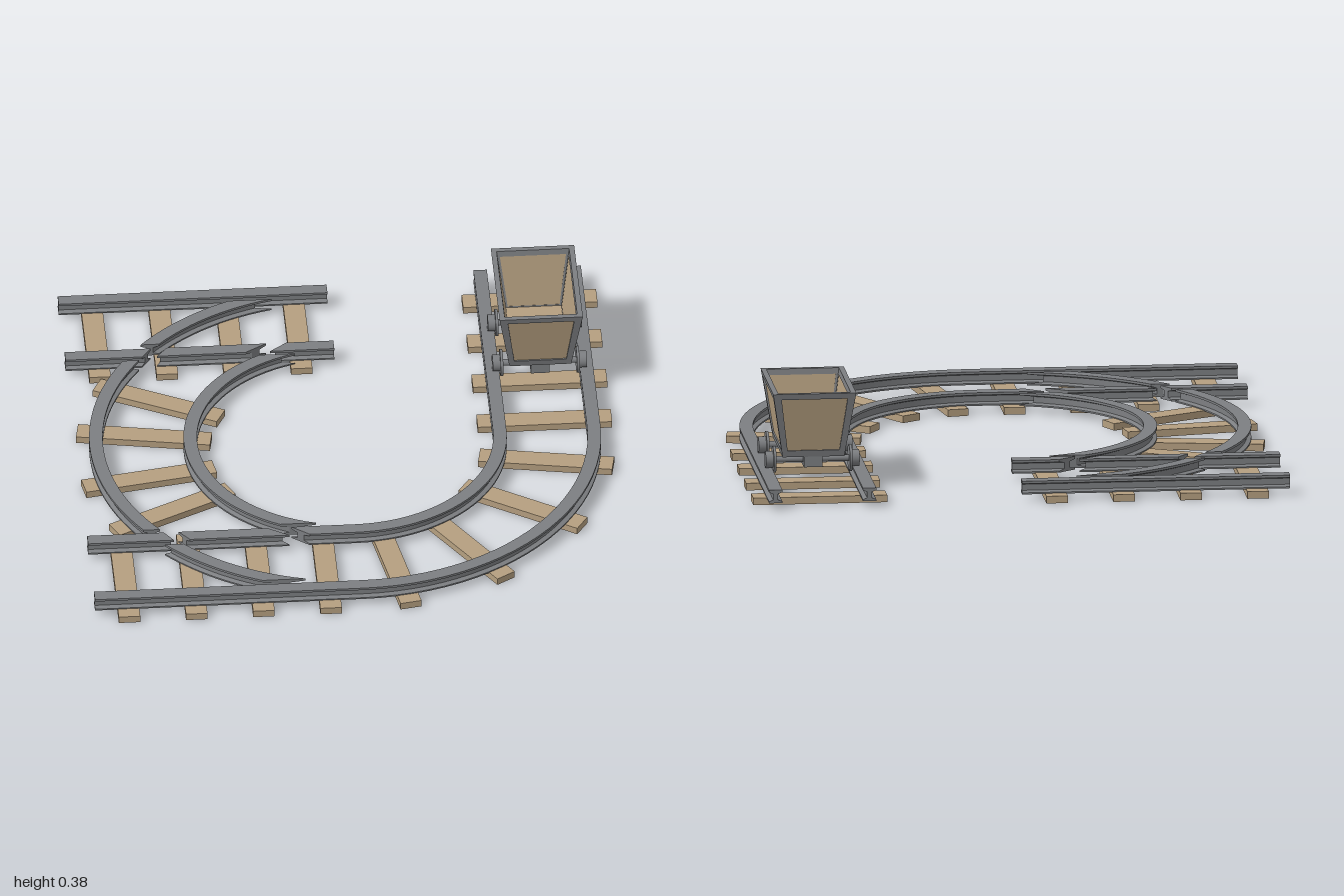
import * as THREE from 'three';
import { toCreasedNormals } from 'three/addons/utils/BufferGeometryUtils.js';

const wood = new THREE.MeshStandardMaterial({ color: 0xb59f80 });
const iron = new THREE.MeshStandardMaterial({ color: 0x7d7f82 });
const INNER = 0.575, OUTER = 0.925, MID = 0.75;

// I-shaped rail section: [sideways offset, height]
const half = [[0.025, 0.025], [0.025, 0.031], [0.009, 0.037], [0.009, 0.06], [0.025, 0.066], [0.025, 0.075]];
const section = [...half, ...half.map(([o, y]) => [-o, y]).reverse()];
const capTriangles = THREE.ShapeUtils.triangulateShape(section.map(p => new THREE.Vector2(...p)), []);

function add(parent, name, geometry, material, x = 0, y = 0, z = 0) {
  const mesh = new THREE.Mesh(geometry, material);
  mesh.name = name;
  mesh.position.set(x, y, z);
  parent.add(mesh);
  return mesh;
}

// Sweeps the rail section; at(offset, t) gives the ground position [x, z]
function sweepRail(steps, at) {
  const rings = [];
  for (let i = 0; i <= steps; i++) {
    rings.push(section.map(([o, y]) => {
      const [x, z] = at(o, i / steps);
      return new THREE.Vector3(x, y, z);
    }));
  }
  const tris = [];
  const n = section.length;
  for (let i = 0; i < steps; i++) {
    for (let j = 0; j < n; j++) {
      const k = (j + 1) % n, a = rings[i], b = rings[i + 1];
      tris.push([a[j], a[k], b[j]], [a[k], b[k], b[j]]);
    }
  }
  for (const [a, b, c] of capTriangles) {
    tris.push([rings[0][a], rings[0][c], rings[0][b]]);
    tris.push([rings[steps][a], rings[steps][b], rings[steps][c]]);
  }
  // Turn all faces outward whichever way the path runs
  let volume = 0;
  const cross = new THREE.Vector3();
  for (const [a, b, c] of tris) volume += a.dot(cross.crossVectors(b, c));
  if (volume < 0) tris.forEach(t => t.reverse());
  const geometry = new THREE.BufferGeometry().setFromPoints(tris.flat());
  geometry.computeVertexNormals();
  return toCreasedNormals(geometry, 0.35);
}

// Straight rail along x at depth z; each end is [x at inner edge, x at outer edge]
function straightRail(z, side, start, end) {
  return sweepRail(1, (o, t) => {
    const f = (o + 0.025) / 0.05;
    const a = THREE.MathUtils.lerp(...start, f), b = THREE.MathUtils.lerp(...end, f);
    return [a + (b - a) * t, side * (z + o)];
  });
}

// Curved rail on the left, with both ends cut along constant z
function cutArc(radius, z0, z1, steps) {
  return sweepRail(steps, (o, t) => {
    const r = radius + o;
    const a0 = Math.asin(z0 / r), a1 = Math.asin(z1 / r), a = a0 + (a1 - a0) * t;
    return [-r * Math.cos(a), r * Math.sin(a)];
  });
}

function buildTrack() {
  const track = new THREE.Group();
  track.name = 'track';

  // Straight run and quarter bend on the cart's side
  for (const r of [INNER, OUTER]) {
    add(track, 'straightRail', sweepRail(1, (o, t) => [r + o, t - 1]), iron);
    add(track, 'bendRail', sweepRail(24, (o, t) => {
      const a = t * Math.PI / 2;
      return [(r + o) * Math.cos(a), (r + o) * Math.sin(a)];
    }), iron);
  }

  // Two junctions, with gaps where rails cross
  for (const side of [-1, 1]) {
    add(track, 'outerRail', straightRail(OUTER, side, [-1, -1], [0, 0]), iron);
    add(track, 'crossingRail', straightRail(INNER, side, [-1, -1], [-0.715, -0.68]), iron);
    add(track, 'crossingRail', straightRail(INNER, side, [-0.66, -0.62], [-0.33, -0.25]), iron);
    add(track, 'crossingRail', straightRail(INNER, side, [-0.24, -0.175], [0, 0]), iron);
    add(track, 'switchRail', cutArc(OUTER, side * 0.625, side * 0.875, 12), iron);
  }
  add(track, 'innerLoopRail', cutArc(INNER, -0.53, 0.53, 36), iron);
  add(track, 'outerLoopRail', cutArc(OUTER, -0.53, 0.53, 24), iron);

  // Sleepers
  const sleeper = new THREE.BoxGeometry(0.5, 0.027, 0.08);
  const placeSleeper = (x, z, turn) => {
    add(track, 'sleeper', sleeper, wood, x, 0.0135, z).rotation.y = turn;
  };
  for (const p of [-0.875, -0.625, -0.375, -0.125]) {
    placeSleeper(MID, p, 0);
    placeSleeper(p, MID, Math.PI / 2);
    placeSleeper(p, -MID, Math.PI / 2);
  }
  for (const degrees of [10, 32.5, 57.5, 80, 153, 170, 190, 207]) {
    const a = THREE.MathUtils.degToRad(degrees);
    placeSleeper(MID * Math.cos(a), MID * Math.sin(a), -a);
  }
  return track;
}

function buildCart() {
  const cart = new THREE.Group();
  cart.name = 'cart';
  const bottom = 0.125, top = 0.375, W = 0.155, D = 0.225;

  // Box narrowed toward the bottom of the hopper
  function taperedBox(name, material, x0, x1, y0, y1, z0, z1) {
    const g = new THREE.BoxGeometry(x1 - x0, y1 - y0, z1 - z0);
    g.translate((x0 + x1) / 2, (y0 + y1) / 2, (z0 + z1) / 2);
    const p = g.attributes.position;
    for (let i = 0; i < p.count; i++) {
      const h = (p.getY(i) - bottom) / (top - bottom);
      p.setX(i, p.getX(i) * THREE.MathUtils.lerp(0.115 / W, 1, h));
      p.setZ(i, p.getZ(i) * THREE.MathUtils.lerp(0.175 / D, 1, h));
    }
    g.computeVertexNormals();
    add(cart, name, g, material);
  }

  // Wooden walls and floor
  const w = W - 0.008, d = D - 0.008, thick = 0.011, b = 0.02;
  taperedBox('floor', wood, -w, w, bottom + 0.003, bottom + 0.02, -d, d);
  for (const s of [-1, 1]) {
    const span = (outer, t) => s > 0 ? [outer - t, outer] : [-outer, t - outer];
    taperedBox('sideWall', wood, ...span(w, thick), bottom + 0.01, top - 0.005, -d, d);
    taperedBox('endWall', wood, -w, w, bottom + 0.01, top - 0.005, ...span(d, thick));
    // Iron frame: rim, base bars and corner posts
    for (const [y0, y1] of [[bottom, bottom + 0.025], [top - 0.022, top]]) {
      taperedBox('sideBar', iron, ...span(W, b), y0, y1, -D, D);
      taperedBox('endBar', iron, -W, W, y0, y1, ...span(D, b));
    }
    for (const e of [-1, 1]) {
      const ends = e > 0 ? [D - 0.029, D] : [-D, 0.029 - D];
      taperedBox('cornerPost', iron, ...span(W, b), bottom, top, ...ends);
      const across = e > 0 ? [W - 0.029, W] : [-W, 0.029 - W];
      taperedBox('cornerPost', iron, ...across, bottom, top, ...span(D, b));
    }
  }

  // Undercarriage
  add(cart, 'centreBeam', new THREE.BoxGeometry(0.07, 0.045, 0.34), iron, 0, 0.1065, 0);
  const disc = (r, length) => new THREE.CylinderGeometry(r, r, length, 24).rotateZ(Math.PI / 2);
  for (const z of [-0.125, 0.125]) {
    add(cart, 'axle', disc(0.012, 0.33), iron, 0, 0.107, z);
    for (const s of [-1, 1]) {
      add(cart, 'wheelTread', disc(0.031, 0.032), iron, s * 0.159, 0.107, z);
      add(cart, 'wheelFlange', disc(0.05, 0.01), iron, s * 0.142, 0.107, z);
    }
  }
  cart.position.set(MID, 0, -0.5);
  return cart;
}

export function createModel() {
  const model = new THREE.Group();
  model.name = 'mineTrackWithCart';
  model.add(buildTrack(), buildCart());
  return model;
}
